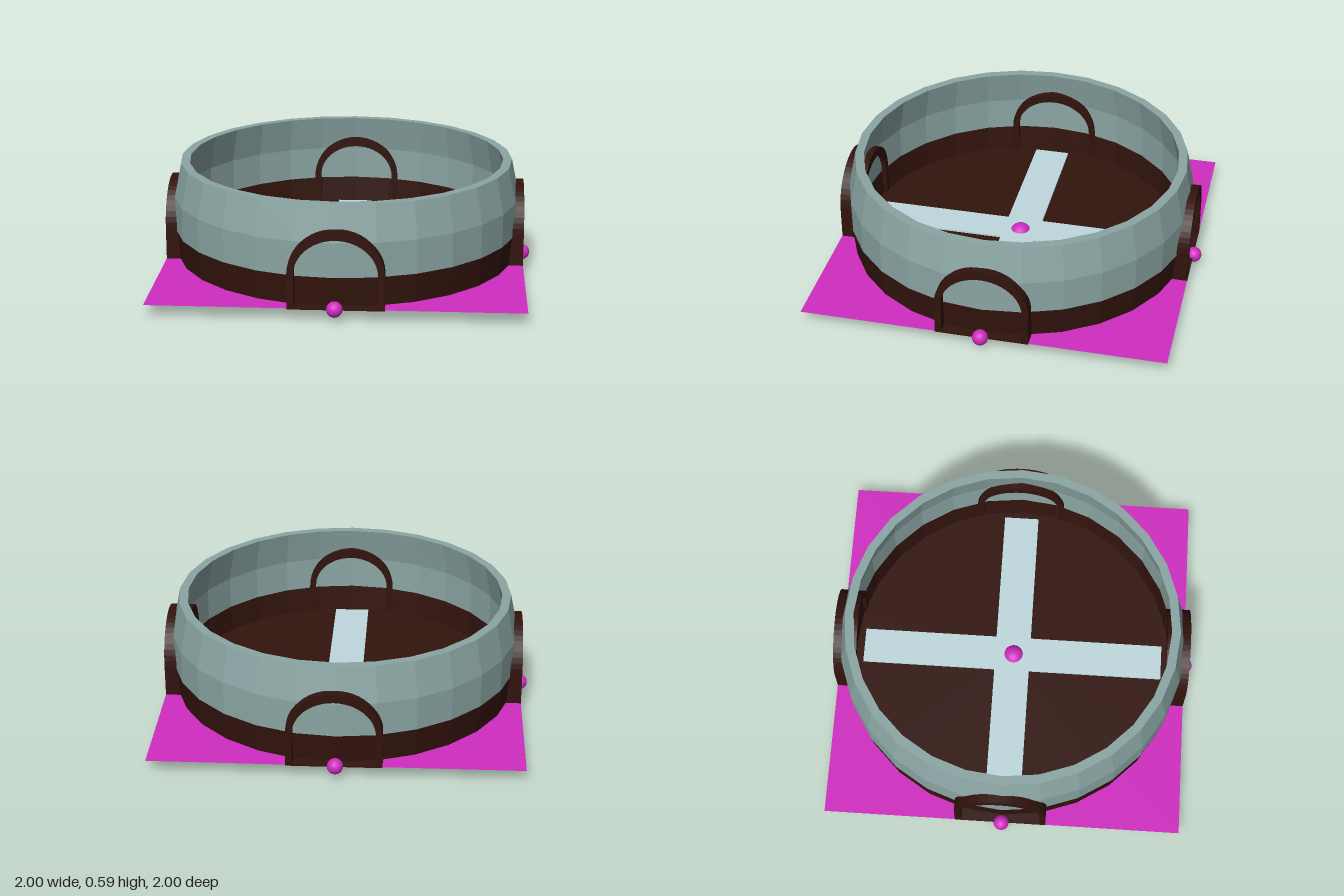
import * as THREE from 'three';

const SIDES = 28;
const FLOOR_Y = 0.066;

function material(color) {
  return new THREE.MeshStandardMaterial({ color, flatShading: true, side: THREE.DoubleSide });
}

export function createModel() {
  const model = new THREE.Group();
  const stone = material(0x8ba6a4);
  const dark = material(0x32130d);
  const pale = material(0xbfd9de);
  const magenta = material(0xd02cc0);
  const smoothMagenta = new THREE.MeshStandardMaterial({ color: 0xd02cc0 });

  function add(name, geometry, mat, x = 0, y = 0, z = 0, parent = model) {
    const mesh = new THREE.Mesh(geometry, mat);
    mesh.name = name;
    mesh.position.set(x, y, z);
    parent.add(mesh);
    return mesh;
  }

  const ring = (points) =>
    new THREE.LatheGeometry(points.map(([r, y]) => new THREE.Vector2(r, y)), SIDES);

  // Square ground sheet
  add('groundSheet', new THREE.PlaneGeometry(1.914, 1.914).rotateX(-Math.PI / 2), magenta, 0, FLOOR_Y, 0);

  // Round wall: dark base band, then a stone band leaning in to the rim
  add('baseBand', ring([[0.87, FLOOR_Y], [0.915, FLOOR_Y], [0.93, 0.22], [0.885, 0.22], [0.87, FLOOR_Y]]), dark);
  add('upperWall', ring([[0.885, 0.22], [0.93, 0.22], [0.932, 0.4], [0.892, 0.59],
    [0.845, 0.59], [0.885, 0.4], [0.885, 0.22]]), stone);

  // Floor disc and the pale cross laid on it
  add('floor', new THREE.CylinderGeometry(0.89, 0.89, 0.012, SIDES), dark, 0, FLOOR_Y + 0.008, 0);
  const cross = new THREE.Shape();
  const a = 0.096, b = 0.827;
  [[a, b], [-a, b], [-a, a], [-b, a], [-b, -a], [-a, -a], [-a, -b], [a, -b], [a, -a], [b, -a], [b, a], [a, a]]
    .forEach(([x, y], i) => (i ? cross.lineTo(x, y) : cross.moveTo(x, y)));
  const crossGeometry = new THREE.ExtrudeGeometry(cross, { depth: 0.01, bevelEnabled: false });
  add('floorCross', crossGeometry.rotateX(-Math.PI / 2), pale, 0, 0.081, 0);

  // Arch frame: straight legs joined by a half ellipse
  const spring = 0.24, foot = 0.06;
  const arch = new THREE.Shape();
  arch.moveTo(0.244, foot);
  arch.lineTo(0.244, spring);
  arch.absellipse(0, spring, 0.244, 0.23, 0, Math.PI, false);
  arch.lineTo(-0.244, foot);
  arch.lineTo(-0.21, foot);
  arch.lineTo(-0.21, spring);
  arch.absellipse(0, spring, 0.21, 0.183, Math.PI, 0, true);
  arch.lineTo(0.21, foot);
  arch.closePath();
  const archGeometry = new THREE.ExtrudeGeometry(arch, { depth: 0.125, bevelEnabled: false, curveSegments: 12 });

  // Four doorways around the wall, each with a sill and a ball
  for (let i = 0; i < 4; i++) {
    const doorway = new THREE.Group();
    doorway.name = 'doorway' + (i + 1);
    doorway.rotation.y = (i * Math.PI) / 2;
    const shift = i < 2 ? 0.006 : -0.006;
    add('archFrame', archGeometry, dark, shift, 0, 0.832, doorway);
    add('sill', new THREE.BoxGeometry(0.488, 0.008, 0.125), dark, shift, 0.064, 0.8945, doorway);
    add('edgeBall', new THREE.SphereGeometry(0.041, 20, 14), smoothMagenta, 0, FLOOR_Y, 0.959, doorway);
    model.add(doorway);
  }

  // Ball in the middle of the floor
  add('centreBall', new THREE.SphereGeometry(0.06, 24, 16), smoothMagenta, 0, 0.06, 0.006);

  return model;
}
